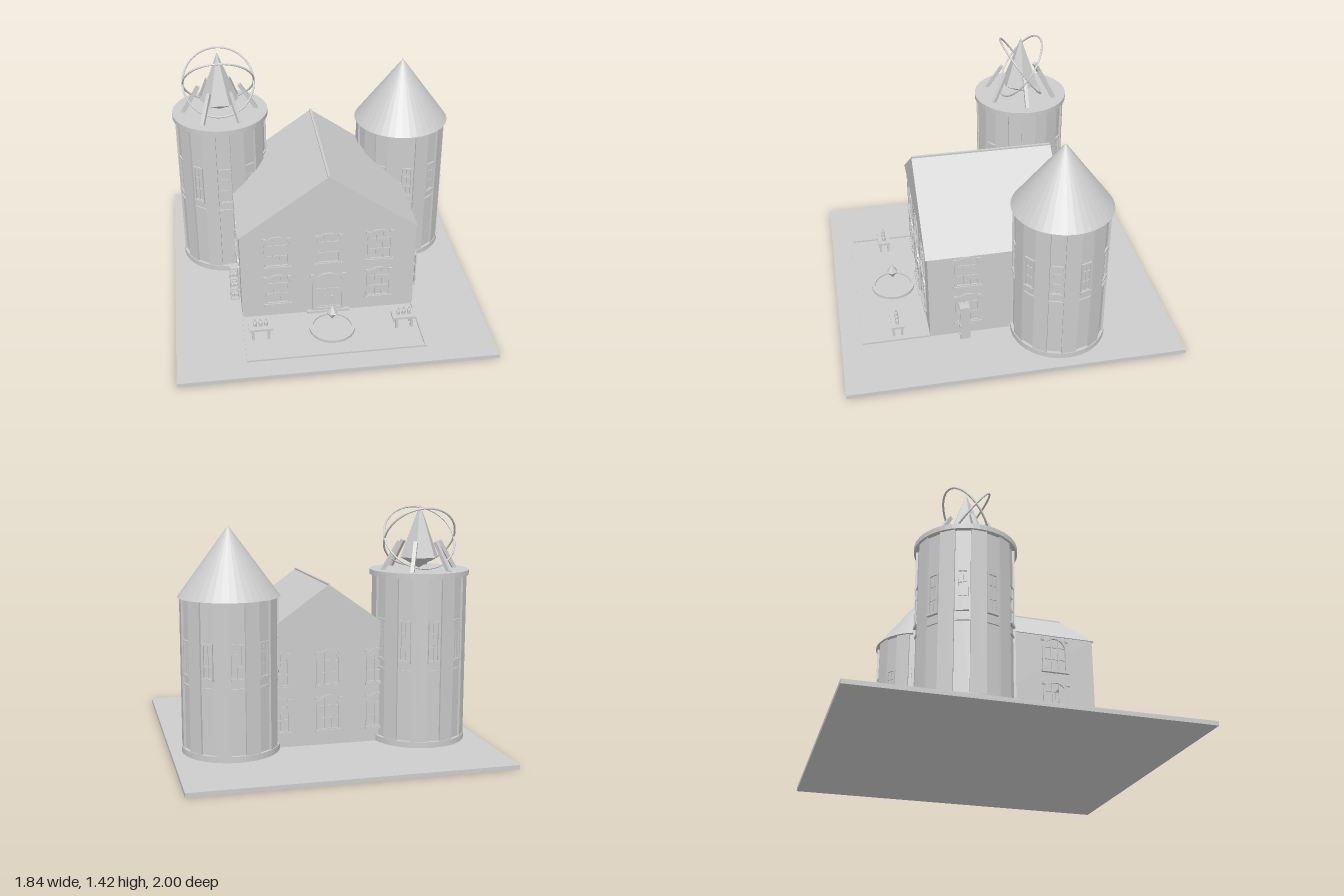
import * as THREE from 'three';

const stone = new THREE.MeshStandardMaterial({ color: 0xcccccc, flatShading: true });
stone.name = 'grey stone';

function add(parent, name, geometry, x = 0, y = 0, z = 0) {
  const mesh = new THREE.Mesh(geometry, stone);
  mesh.name = name;
  mesh.position.set(x, y, z);
  parent.add(mesh);
  return mesh;
}
function group(parent, name, x = 0, y = 0, z = 0) {
  const g = new THREE.Group();
  g.name = name;
  g.position.set(x, y, z);
  parent.add(g);
  return g;
}
const box = (w, h, d) => new THREE.BoxGeometry(w, h, d);
const disc = (r, h, n = 48) => new THREE.CylinderGeometry(r, r, h, n);
const extrude = (shape, depth) => new THREE.ExtrudeGeometry(shape, { depth, bevelEnabled: false, curveSegments: 16 });

// Upright opening with an elliptical arch of the given rise (0 = square top)
function archPath(Type, w, y0, y1, rise) {
  const p = new Type();
  p.moveTo(-w / 2, y0);
  p.lineTo(w / 2, y0);
  p.lineTo(w / 2, y1 - rise);
  if (rise) p.absellipse(0, y1 - rise, w / 2, rise, 0, Math.PI, false);
  else p.lineTo(-w / 2, y1);
  p.closePath();
  return p;
}
function archFrame(w, h, rise, t, depth) {
  const s = archPath(THREE.Shape, w, 0, h, rise);
  s.holes.push(archPath(THREE.Path, w - 2 * t, t, h - t, rise && rise - t * 0.6));
  return extrude(s, depth);
}

// Window standing on z = 0, facing +z
function addWindow(parent, w, h, rise, columns, t) {
  const g = group(parent, 'window');
  add(g, 'frame', archFrame(w, h, rise, t, 0.01));
  add(g, 'sill', box(w * 1.08, 0.014, 0.016), 0, 0, 0.008);
  for (let i = 1; i < columns; i++) {
    const x = (i / columns - 0.5) * (w - 2 * t);
    add(g, 'mullion', box(0.006, h - 2 * t, 0.006), x, h / 2, 0.003);
  }
  for (const f of [0.36, 0.7]) add(g, 'glazingBar', box(w - 2 * t, 0.006, 0.006), 0, h * f, 0.003);
  return g;
}

// Six-sided crystal with points at both ends
function crystal(r, bottom, girdle, top) {
  const points = [[0, bottom], [r, girdle], [0, top]].map(p => new THREE.Vector2(...p));
  return new THREE.LatheGeometry(points, 6, Math.PI / 6);
}

// Tower with 20 facets, every other one recessed and holding a window
function addTower(parent, name, x, top, bandY, windowY, windowH) {
  const g = group(parent, name, x, 0, -0.3);
  const step = Math.PI / 10;
  const outline = [];
  for (let i = 0; i < 20; i++) {
    const r = i % 2 ? 0.281 : 0.268;
    for (const e of [-0.5, 0.5]) {
      const a = (i + e) * step;
      outline.push(new THREE.Vector2(Math.sin(a) * r, -Math.cos(a) * r));
    }
  }
  const body = extrude(new THREE.Shape(outline), top - 0.025);
  body.rotateX(-Math.PI / 2);
  add(g, 'towerWall', body, 0, 0.025, 0);
  add(g, 'plinth', disc(0.284, 0.035), 0, 0.0425, 0);
  add(g, 'band', disc(0.2745, 0.012), 0, bandY, 0);
  for (let i = 0; i < 10; i++) {
    const a = i * 2 * step;
    const w = addWindow(g, 0.066, windowH, 0, 2, 0.01);
    w.position.set(Math.sin(a) * 0.2645, windowY, Math.cos(a) * 0.2645);
    w.rotation.y = a;
  }
  return g;
}

// Three little bottles in a row along x or z
function addBottles(parent, y, spacing, axis, count, size) {
  for (let i = 0; i < count; i++) {
    const profile = [[0, 0], [0.011, 0], [0.011, 0.024], [0.004, 0.036], [0.004, 0.05], [0, 0.05]];
    const geo = new THREE.LatheGeometry(profile.map(p => new THREE.Vector2(p[0] * size, p[1] * size)), 10);
    const bottle = add(parent, 'bottle', geo, 0, y, 0);
    bottle.position[axis] = (i - (count - 1) / 2) * spacing;
  }
}

export function createModel() {
  const model = new THREE.Group();
  model.name = 'twinTowerHouse';
  add(model, 'ground', box(1.84, 0.025, 2), 0, 0.0125, 0);

  // Main house with a gabled roof
  const house = group(model, 'house');
  add(house, 'walls', box(1.04, 0.58, 0.83), 0, 0.315, 0.055);
  const gable = new THREE.Shape([[-0.527, 0.6], [0.527, 0.6], [0, 0.975]].map(p => new THREE.Vector2(...p)));
  add(house, 'roof', extrude(gable, 0.845), 0, 0, -0.365);
  add(house, 'ridge', box(0.014, 0.012, 0.845), 0, 0.974, 0.0575);

  // Arched windows on all four sides
  const place = (x, y, z, turn) => {
    const w = addWindow(house, 0.15, 0.215, 0.075, 3, 0.014);
    w.position.set(x, y, z);
    w.rotation.y = turn;
    for (const s of [-1, 1]) add(w, 'hoodBlock', box(0.022, 0.014, 0.012), s * 0.07, 0.195, 0.005);
  };
  for (const y of [0.11, 0.38]) {
    for (const x of [-0.305, 0, 0.305]) {
      if (x !== 0 || y > 0.2) place(x, y, 0.47, 0);
      place(x, y, -0.36, Math.PI);
    }
    for (const s of [-1, 1]) place(s * 0.52, y, 0.24, s * Math.PI / 2);
  }

  // Front door
  const door = group(house, 'door', 0, 0.04, 0.47);
  add(door, 'doorFrame', archFrame(0.19, 0.27, 0.09, 0.016, 0.012));
  add(door, 'doorLeaf', extrude(archPath(THREE.Shape, 0.16, 0.01, 0.255, 0.08), 0.004));
  for (const y of [0.025, 0.155]) add(door, 'doorRail', box(0.15, 0.006, 0.006), 0, y, 0.005);
  for (const s of [-1, 1]) {
    add(door, 'doorKnob', new THREE.SphereGeometry(0.006, 10, 8), s * 0.02, 0.1, 0.009);
    add(door, 'hoodBlock', box(0.022, 0.014, 0.012), s * 0.095, 0.255, 0.005);
  }
  add(door, 'doorStep', box(0.26, 0.015, 0.02), 0, -0.0075, 0.01);

  // Towers: one with a pointed roof, one with a platform
  const coneTower = addTower(model, 'leftTower', 0.57, 0.92, 0.435, 0.49, 0.2);
  add(coneTower, 'coneRoof', new THREE.ConeGeometry(0.293, 0.4, 40), 0, 1.12, 0);
  const crystalTower = addTower(model, 'rightTower', -0.57, 1.02, 0.475, 0.53, 0.24);
  add(crystalTower, 'platform', disc(0.293, 0.03), 0, 1.03, 0);

  // Great crystal with leaning struts and two crossed rings
  add(crystalTower, 'greatCrystal', crystal(0.118, 1.05, 1.115, 1.425));
  for (let i = 0; i < 6; i++) {
    const pivot = group(crystalTower, 'strut');
    pivot.rotation.y = i * Math.PI / 3;
    const strut = add(pivot, 'strutBar', box(0.022, 0.195, 0.022), 0.175, 1.125, 0);
    strut.rotation.z = Math.atan2(0.1, 0.165);
  }
  for (const s of [-1, 1]) {
    const ring = add(crystalTower, 'ring', new THREE.TorusGeometry(0.216, 0.006, 8, 56), 0, 1.23, 0);
    ring.rotation.x = s * 0.63;
  }

  // Courtyard border, pool ring and floating crystal
  const yard = group(model, 'courtyard', 0, 0.03, 0);
  add(yard, 'borderFront', box(1.045, 0.012, 0.012), 0, 0, 0.869);
  for (const s of [-1, 1]) add(yard, 'borderSide', box(0.012, 0.012, 0.4), s * 0.5165, 0, 0.675);
  const rim = [[0.115, 0.022], [0.115, 0.042], [0.135, 0.042], [0.135, 0.022]].reverse();
  add(model, 'poolRim', new THREE.LatheGeometry(rim.reverse().map(p => new THREE.Vector2(...p)).reverse(), 48), 0, 0, 0.64);
  add(model, 'poolFloor', disc(0.118, 0.008), 0, 0.028, 0.64);
  add(model, 'smallCrystal', crystal(0.034, 0.095, 0.145, 0.197), 0, 0, 0.64);

  for (const s of [-1, 1]) {
    // Table with bottles
    const table = group(model, 'table', s * 0.425, 0, 0.658);
    add(table, 'tableTop', box(0.142, 0.014, 0.076), 0, 0.098, 0);
    for (const x of [-0.045, 0.045])
      for (const z of [-0.025, 0.025]) add(table, 'tableLeg', box(0.016, 0.068, 0.014), x, 0.058, z);
    addBottles(table, 0.105, 0.032, 'x', 3, 1);

    // Shelf beside the house, open to front and back
    const shelf = group(model, 'shelf', s * 0.553, 0, 0.265);
    for (const x of [-0.024, 0.024]) add(shelf, 'shelfSide', box(0.006, 0.235, 0.058), x, 0.1425, 0);
    for (const y of [0.03, 0.105, 0.18, 0.257]) add(shelf, 'shelfBoard', box(0.054, 0.008, 0.058), 0, y, 0);
    for (const y of [0.034, 0.109, 0.184]) addBottles(shelf, y, 0.022, 'x', 2, 0.85);
  }
  return model;
}
